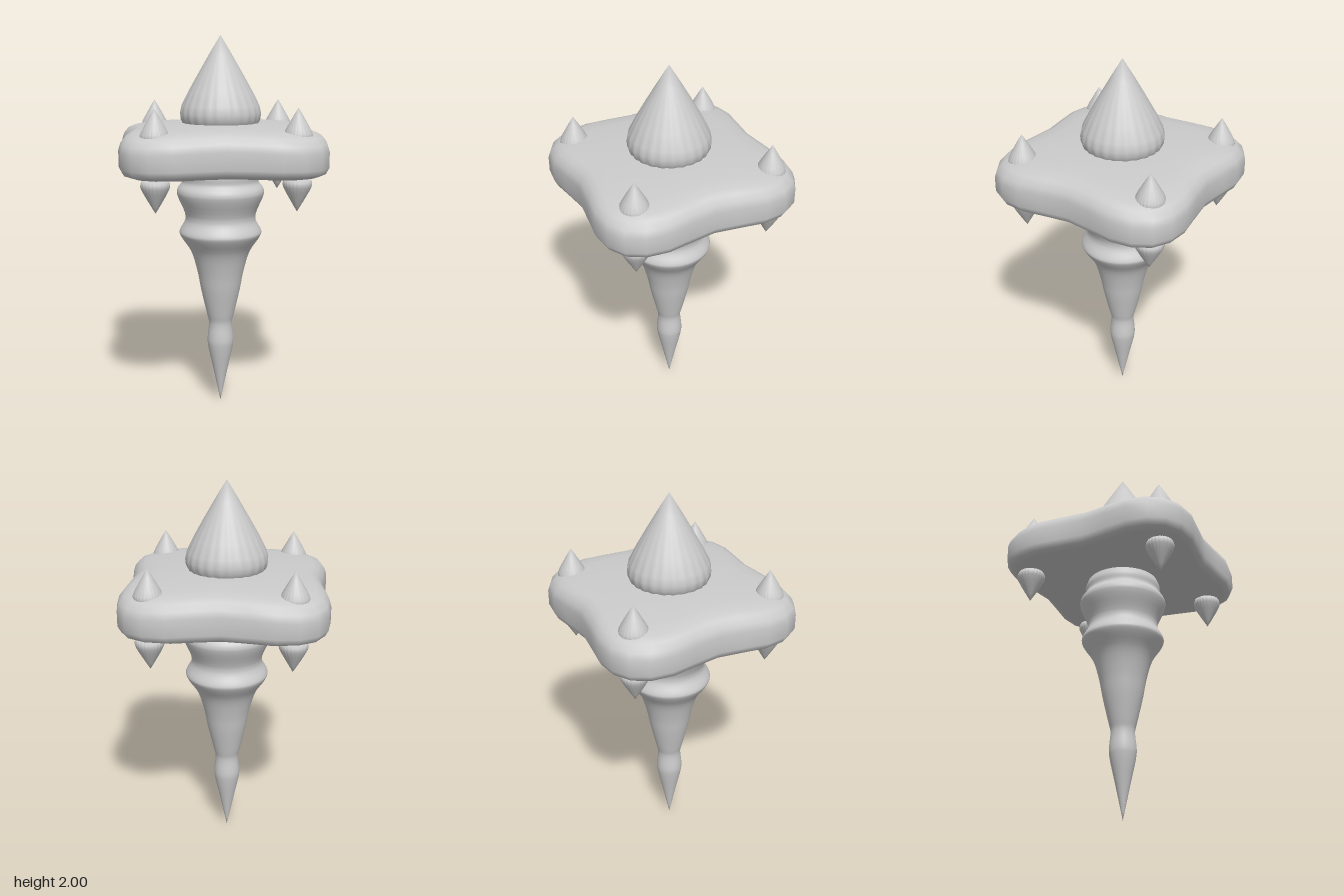
import * as THREE from 'three';
import { mergeVertices } from 'three/addons/utils/BufferGeometryUtils.js';

const material = new THREE.MeshStandardMaterial({ color: 0xcccccc, side: THREE.DoubleSide });

// Lathe whose vertices may be moved by a rule, welded for seamless smooth shading
function turned(name, profile, segments, rule) {
  const geo = new THREE.LatheGeometry(profile.map(([r, y]) => new THREE.Vector2(r, y)), segments);
  const pos = geo.attributes.position;
  if (rule) {
    const v = new THREE.Vector3();
    for (let i = 0; i < pos.count; i++) {
      v.fromBufferAttribute(pos, i);
      rule(v, Math.floor(i / profile.length) % segments);
      pos.setXYZ(i, v.x, v.y, v.z);
    }
  }
  geo.deleteAttribute('uv');
  geo.deleteAttribute('normal');
  const welded = mergeVertices(geo, 1e-5);
  welded.computeVertexNormals();
  const mesh = new THREE.Mesh(welded, material);
  mesh.name = name;
  return mesh;
}

// Pointed cone with a fluted rim; the tip is at y = 0
function spike(name, scale) {
  const profile = [
    [0, -0.48], [0.19, -0.47], [0.207, -0.43], [0.21, -0.4], [0.202, -0.36],
    [0.168, -0.29], [0.118, -0.2], [0.06, -0.1], [0, 0],
  ];
  const mesh = turned(name, profile, 96, (v) => {
    const angle = Math.atan2(v.x, v.z);
    const fade = THREE.MathUtils.clamp((-v.y - 0.15) / 0.25, 0, 1);
    const flute = 1 + 0.03 * fade * (Math.abs(Math.sin(angle * 12)) - 0.6);
    v.x *= flute;
    v.z *= flute;
  });
  mesh.scale.setScalar(scale);
  return mesh;
}

// Square slab with rounded corners, waisted sides and drooping corners
function slab() {
  const quarter = [
    [0, 0.49], [0.14, 0.508], [0.265, 0.525], [0.375, 0.51],
    [0.46, 0.46], [0.51, 0.375], [0.525, 0.265], [0.508, 0.14],
  ];
  const profile = [
    [0, 1.32], [0.5, 1.32], [0.8, 1.32], [0.91, 1.322], [0.97, 1.337], [1, 1.37],
    [1, 1.47], [0.98, 1.505], [0.93, 1.535], [0.86, 1.548], [0.7, 1.555], [0.4, 1.555], [0, 1.555],
  ];
  return turned('slab', profile, 32, (v, i) => {
    const s = Math.hypot(v.x, v.z);
    const [a, b] = quarter[i % 8];
    const turn = Math.floor(i / 8) * Math.PI / 2;
    v.x = s * (a * Math.cos(turn) + b * Math.sin(turn));
    v.z = s * (b * Math.cos(turn) - a * Math.sin(turn));
    const reach = (v.x * v.x + v.z * v.z) / 0.42;
    v.y -= (v.y > 1.42 ? 0.038 : 0.016) * reach;
  });
}

// Tapering turned shaft with two collars
function shaft() {
  const points = [
    [0, 0.005], [0.037, 0.18], [0.07, 0.34], [0.07, 0.38], [0.063, 0.46], [0.074, 0.51],
    [0.106, 0.65], [0.125, 0.75], [0.16, 0.865], [0.212, 0.945], [0.22, 0.97],
    [0.19, 1.03], [0.19, 1.07], [0.232, 1.175], [0.228, 1.205], [0.203, 1.24],
    [0.204, 1.28], [0.19, 1.32], [0.18, 1.36],
  ];
  const curve = new THREE.CatmullRomCurve3(points.map(([r, y]) => new THREE.Vector3(r, y, 0)));
  const profile = curve.getPoints(72).map((p) => [Math.max(p.x, 0), p.y]);
  return turned('shaft', profile, 48);
}

export function createModel() {
  const model = new THREE.Group();
  model.name = 'spikedPeg';
  model.add(shaft(), slab());

  // Central peak
  const peak = spike('centralPeak', 1);
  peak.position.y = 2;
  model.add(peak);

  // Corner spikes above and below the slab
  for (const [x, z] of [[-0.345, -0.378], [0.355, -0.378], [-0.345, 0.372], [0.355, 0.358]]) {
    const upper = spike('upperSpike', 0.345);
    upper.position.set(x, 1.65, z);
    const lower = spike('lowerSpike', 0.345);
    lower.rotation.x = Math.PI;
    lower.position.set(x, 1.137, z);
    model.add(upper, lower);
  }
  return model;
}
